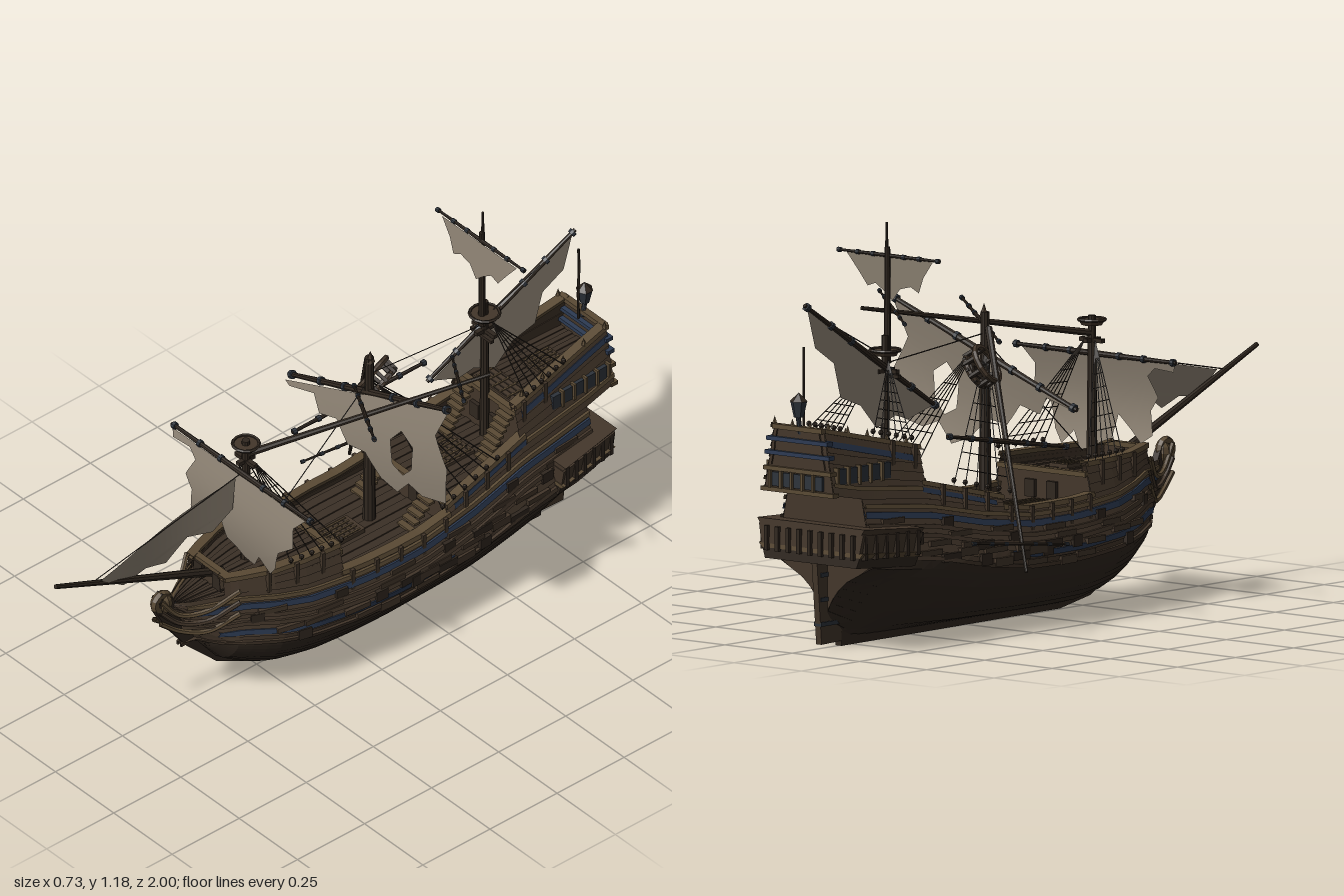
import * as THREE from 'three';
import { mergeVertices } from 'three/addons/utils/BufferGeometryUtils.js';

const mat = (color, flatShading = true) => new THREE.MeshStandardMaterial({ color, flatShading, side: THREE.DoubleSide });
const WOOD = mat(0x43362a), DARK = mat(0x30271f), TRIM = mat(0x5a4a34), BLUE = mat(0x2c3a52);
const DECK = mat(0x3b3026), SAIL = mat(0x8d8273, false), ROPE = mat(0x2b2520), IRON = mat(0x2d333b);
const V = (x, y, z) => new THREE.Vector3(x, y, z);

// Linear interpolation in a table of [z, value], z descending
function lerp(t, z) {
  if (z >= t[0][0]) return t[0][1];
  for (let i = 1; i < t.length; i++) if (z >= t[i][0]) {
    const [a, b] = [t[i - 1], t[i]];
    return a[1] + (b[1] - a[1]) * (z - a[0]) / (b[0] - a[0]);
  }
  return t[t.length - 1][1];
}
const KEEL = [[.57, .35], [.5, .23], [.41, .115], [.34, .07], [.27, .04], [.14, .018], [-.78, .018], [-.86, .06]];
const WIDTH = [[.57, .012], [.5, .055], [.4, .118], [.3, .165], [.2, .19], [.05, .208], [-.1, .216], [-.3, .213], [-.5, .205], [-.7, .193], [-.86, .18], [-.97, .172]];
const SHEER = [[.57, .385], [.4, .39], [.2, .357], [0, .345], [-.2, .345], [-.4, .37], [-.6, .41], [-.86, .435], [-.97, .455]];
const FULL = [[.57, 1.5], [.3, 1.7], [0, 1.85], [-.4, 1.75], [-.65, 1.3], [-.86, .62]];
const sheer = (z) => lerp(SHEER, z);
const foreTop = (z) => .435 + Math.max(0, z - .3) * .05;
const quarterTop = (z) => .385 + (-.3 - z) * .23;
const poopTop = (z) => .555 + (-.6 - z) * .22;

// Half breadth of the hull: rounded below the widest line, leaning inwards above it
function half(z, y) {
  const yb = lerp(KEEL, z), ym = Math.max(.23, yb + .1), w = lerp(WIDTH, z);
  if (y >= ym) return w * (1 - 1.15 * (y - ym));
  const p = lerp(FULL, z), u = Math.max(0, (y - yb) / (ym - yb));
  return w * Math.pow(Math.max(0, 1 - Math.pow(1 - u, p)), 1 / p);
}
const steps = (a, b, n) => Array.from({ length: n + 1 }, (_, i) => a + (b - a) * i / n);
const path = (pts, Type) => new Type(pts.map((p) => new THREE.Vector2(...p)));

export function createModel() {
  const ship = new THREE.Group();
  const add = (geo, m, name, x = 0, y = 0, z = 0, parent = ship) => {
    const o = new THREE.Mesh(geo, m);
    o.name = name; o.position.set(x, y, z); parent.add(o);
    return o;
  };
  const box = (w, h, d, m, name, x, y, z) => add(new THREE.BoxGeometry(w, h, d), m, name, x, y, z);
  // Surface through rows of points
  function grid(rows, m, name) {
    const n = rows[0].length, idx = [];
    for (let i = 0; i < rows.length - 1; i++) for (let j = 0; j < n - 1; j++) {
      const a = i * n + j, b = a + n;
      idx.push(a, b, a + 1, b, b + 1, a + 1);
    }
    const g = new THREE.BufferGeometry().setFromPoints(rows.flat());
    g.setIndex(idx); g.computeVertexNormals();
    add(g, m, name);
  }
  // Tapered round spar between two points
  function spar(a, b, r0, r1, m, name, seg = 8) {
    const d = b.clone().sub(a), o = add(new THREE.CylinderGeometry(r1, r0, d.length(), seg), m, name);
    o.position.copy(a).addScaledVector(d, .5);
    o.quaternion.setFromUnitVectors(V(0, 1, 0), d.normalize());
  }
  // Yard: thick in the middle, thin at the ends, with iron hoops
  function yard(a, b, r, name) {
    const m = a.clone().lerp(b, .5), e = .006 / a.distanceTo(b);
    spar(m, a, r, r * .6, DARK, name); spar(m, b, r, r * .6, DARK, name);
    for (const t of [.02, .2, .35, .65, .8, .98]) spar(a.clone().lerp(b, t - e), a.clone().lerp(b, t + e), r * 1.2, r * 1.2, IRON, 'hoop');
  }
  const rope = (a, b, r = .0018) => spar(a, b, r, r, ROPE, 'rope', 4);
  const curve = (pts, r, m, name) => add(new THREE.TubeGeometry(new THREE.CatmullRomCurve3(pts), 20, r, 6), m, name);
  // Flat profile in (z, y), extruded across the ship
  function profile(pts, w, m, name) {
    const g = new THREE.ExtrudeGeometry(path(pts, THREE.Shape), { depth: w, bevelEnabled: false });
    add(g.rotateY(-Math.PI / 2).translate(w / 2, 0, 0), m, name);
  }
  // Lapped planking from lo(z) to hi(z), both sides
  function planking(z0, z1, lo, hi, n, m, name, lap = .004, inset = 0) {
    for (const s of [1, -1]) grid(steps(z0, z1, 36).map((z) => {
      const row = [], a = lo(z), b = hi(z);
      for (let k = 0; k < n; k++) for (const [t, o] of [[k, lap], [k + 1, 0]]) {
        const y = a + (b - a) * t / n;
        row.push(V(s * (half(z, y) + o - inset), y, z));
      }
      return row;
    }), m, name);
  }
  // Raised belt along the side
  function belt(z0, z1, yf, h, out, m, name, inner = .006) {
    for (const s of [1, -1]) grid(steps(z0, z1, 30).map((z) =>
      [[-h, -inner], [-h, out], [h, out], [h, -inner], [-h, -inner]].map(([d, o]) =>
        V(s * Math.max(.004, half(z, yf(z) + d) + o), yf(z) + d, z))), m, name);
  }
  const bilge = (z) => Math.max(lerp(KEEL, z), sheer(z) - .17);
  planking(.57, -.86, (z) => lerp(KEEL, z), bilge, 9, DARK, 'lowerHull', .0015);
  planking(.57, -.86, bilge, sheer, 7, WOOD, 'upperHull');
  planking(.44, .08, sheer, foreTop, 3, WOOD, 'forecastleSide');
  planking(-.3, -.62, sheer, quarterTop, 3, WOOD, 'quarterSide');
  planking(-.6, -.97, sheer, poopTop, 6, WOOD, 'poopSide');
  belt(.52, -.86, (z) => sheer(z) - .045, .009, .008, BLUE, 'blueBelt');
  belt(.46, -.3, (z) => sheer(z) - .13, .008, .007, BLUE, 'lowerBlueBelt');
  for (const d of [.02, .075, .1, .165]) belt(.54, -.86, (z) => sheer(z) - d, .006, .011, d < .05 ? TRIM : WOOD, 'wale');
  belt(-.62, -.97, (z) => poopTop(z) - .035, .009, .006, BLUE, 'poopBlueBelt');
  belt(-.33, -.62, (z) => quarterTop(z) - .02, .007, .006, BLUE, 'quarterBlueBelt');
  belt(-.62, -.97, (z) => sheer(z) + .03, .006, .01, TRIM, 'poopMoulding');
  // Bulwarks: inner lining and cap rail
  for (const [a, b, f, y] of [[.44, .08, foreTop, .4], [.09, -.31, sheer, .305], [-.3, -.62, quarterTop, .37], [-.6, -.975, poopTop, .525]]) {
    planking(a, b, () => y, f, 2, WOOD, 'bulwarkLining', .002, .016);
    belt(a, b, f, .007, .01, TRIM, 'capRail', .02);
  }

  // Patches, gunports and ribs along the sides
  for (const s of [1, -1]) {
    const patch = (z, y, h, l, m, name) => {
      box(.016, h, l, m, name, s * (half(z, y) + .004), y, z).rotation.y = s * Math.atan2(half(z + .03, y) - half(z - .03, y), .06);
    };
    for (let i = 0; i < 27; i++) {
      const z = .36 - i * .043, y = sheer(z) - [.085, .06, .12, .15, .11][i % 5];
      if (i % 3) patch(z, y, .016, .085, WOOD, 'loosePlank'); else patch(z, y, .034, .04, DARK, 'gunport');
      const t = z > .08 ? foreTop(z) : z > -.3 ? sheer(z) : z > -.6 ? quarterTop(z) : poopTop(z);
      if (i % 2) box(.014, .07, .012, WOOD, 'rib', s * (half(z, t - .03) + .004), t - .03, z);
    }
    for (const i of steps(0, 7, 7)) patch(-.06 - i * .07, .185 + (i * 3 % 4) * .016 + i * .006, .024, .07, i % 2 ? DARK : WOOD, 'hullPatch');
  }

  // Keel with curled stem, rudder and transom
  profile([[-.8, 0], [.14, .004], [.27, .028], [.41, .1], [.52, .21], [.6, .32], [.632, .38], [.635, .42], [.61, .44], [.575, .41],
    [.55, .36], [.49, .27], [.38, .13], [.25, .065], [.1, .04], [-.8, .04]], .022, DARK, 'keelAndStem');
  profile([[-.79, .015], [-.885, .012], [-.905, .25], [-.85, .3], [-.82, .25]], .02, WOOD, 'rudder');
  for (const y of [.07, .14, .21]) box(.028, .012, .08, IRON, 'rudderStrap', 0, y, -.85);
  grid(steps(.06, .435, 14).map((y) => [V(-half(-.86, y), y, -.86), V(half(-.86, y), y, -.86)]), WOOD, 'transom');

  // Beakhead: scroll, figure and curved head rails
  add(new THREE.TorusGeometry(.025, .013, 6, 14).rotateY(Math.PI / 2), TRIM, 'scroll', 0, .405, .606);
  add(new THREE.SphereGeometry(.024, 8, 6).scale(1, 1.5, 1), TRIM, 'figurehead', 0, .395, .595);
  for (const s of [1, -1]) for (const d of [0, .04, .08])
    curve([V(s * .115, .41 - d, .41), V(s * .065, .35 - d * .9, .49), V(s * .03, .35 - d * .7, .56), V(s * .014, .42 - d, .62)], .008, d === .04 ? WOOD : TRIM, 'headRail');

  // Decks with raised planks, and the bulkheads between them
  function deck(z0, z1, y, name) {
    grid(steps(z0, z1, 14).map((z) => {
      const w = half(z, y), row = [];
      for (let k = 0; k < 14; k++) for (const t of [k, k + 1]) row.push(V(w * (t / 7 - 1), y + (k % 2) * .004, z));
      return row;
    }), DECK, name);
  }
  const wall = (z, y0, y1, name) => {
    grid([y0, y1].map((y) => [V(-half(z, y), y, z), V(half(z, y), y, z)]), WOOD, name);
    box(half(z, y1) * 2, .014, .02, TRIM, 'beam', 0, y1, z);
  };
  deck(.55, .4, .37, 'beakDeck'); deck(.42, .08, .4, 'foredeck'); deck(.1, -.32, .305, 'mainDeck');
  deck(-.3, -.62, .385, 'quarterdeck'); deck(-.6, -.97, .525, 'poopDeck');
  wall(.42, .36, .44, 'foreBulkhead'); wall(.08, .3, .405, 'forecastleWall');
  wall(-.31, .3, .39, 'quarterWall'); wall(-.61, .38, .53, 'poopWall'); wall(-.97, .455, .635, 'sternWall');
  grid(steps(-.85, -.97, 2).map((z) => [V(-half(z, sheer(z)), sheer(z), z), V(half(z, sheer(z)), sheer(z), z)]), WOOD, 'counterFloor');
  for (const y of [0, .06, .105, .145]) box(.27 - y * .3, .012, .025, y > .1 ? BLUE : TRIM, 'sternMoulding', 0, .455 + y, -.968);

  // Deck fittings: hatches, doors, windows and stairs
  for (const [z, y, w, l] of [[0, .31, .08, .24], [.18, .405, .07, .07], [-.46, .39, .1, .12], [-.66, .53, .16, .07], [-.82, .53, .08, .1]]) {
    box(w, .018, l, WOOD, 'hatch', 0, y, z);
    for (const x of steps(-.4, .4, 4)) box(.005, .024, l * .9, TRIM, 'grating', x * w, y, z);
    for (const d of steps(-.4, .4, Math.round(l * 40))) box(w * .9, .022, .005, DARK, 'grating', 0, y, z + d * l);
  }
  const stairs = (x, z, y0, y1, n) => steps(0, 1, n).forEach((t) => box(.055, .008, .02, TRIM, 'stair', x, y0 + (y1 - y0) * t, z - t * .09));
  for (const s of [1, -1]) {
    stairs(s * .1, -.22, .31, .385, 5); stairs(s * .085, -.52, .39, .52, 8);
    for (const [z, y] of [[.43, .41], [.072, .35], [-.302, .35], [-.6, .45]]) box(.035, .05, .012, DARK, 'door', s * .04, y, z);
    for (const z of steps(-.75, -.93, 4)) {
      box(.016, .045, .03, IRON, 'sideWindow', s * half(z, .5), .505, z);
      box(.024, .055, .008, TRIM, 'windowPost', s * half(z, .5), .505, z - .022);
    }
  }
  for (const x of steps(-.08, .08, 4)) {
    box(.026, .04, .012, IRON, 'sternWindow', x, .485, -.973);
    box(.008, .05, .022, TRIM, 'windowPost', x + .02, .485, -.973);
  }

  // Lower gallery around the stern: wider forwards and at the top, on brackets
  for (const [y, h, k, m] of [[.345, .016, 1.03, WOOD], [.31, .055, 1, WOOD], [.277, .014, 1, TRIM], [.255, .03, .93, DARK]]) {
    const g = new THREE.BoxGeometry(.408, h, .22), p = g.attributes.position;
    for (let i = 0; i < p.count; i++) p.setX(i, p.getX(i) * k * (1 + p.getZ(i) * .7) * (1 + (p.getY(i) > 0 ? .03 : -.03)));
    add(g, m, 'gallery', 0, y, -.81).rotation.x = .06;
  }
  for (const s of [1, -1]) for (const t of steps(0, 1, 5)) box(.014, .07, .012, DARK, 'galleryPost', s * (.218 - t * .03), .305, -.715 - t * .19);
  for (const x of steps(-.16, .16, 8)) box(.012, .07, .014, DARK, 'galleryPost', x, .305, -.923);

  // Masts, tops and bowsprit
  const mast = (z, y0, y1, r, r1 = r * .65) => spar(V(0, y0, z), V(0, y1, z), r, r1, DARK, 'mast', 10);
  function top(y, z, r) {
    add(new THREE.CylinderGeometry(r, r * .8, .014, 10), WOOD, 'mastTop', 0, y, z);
    add(new THREE.TorusGeometry(r, .005, 5, 14).rotateX(Math.PI / 2), DARK, 'topRim', 0, y + .008, z);
    box(r * 2.2, .012, .014, DARK, 'crosstree', 0, y - .05, z);
    box(.014, .012, r * 1.6, DARK, 'crosstree', 0, y - .05, z);
  }
  mast(.29, .2, .82, .018); top(.8, .29, .038);
  mast(-.17, .2, .88, .02); mast(-.6, .3, .86, .016); mast(-.59, .78, 1.11, .011, .008); mast(-.593, 1.1, 1.18, .005);
  top(.81, -.6, .043); box(.09, .01, .012, DARK, 'crosstree', 0, .745, -.59);
  add(new THREE.ConeGeometry(.014, .04, 5), WOOD, 'splinter', .004, .885, -.17);
  spar(V(0, .4, .38), V(0, .66, 1), .014, .007, DARK, 'bowsprit');

  // Yards still standing
  yard(V(-.3, .71, .305), V(.305, .71, .305), .009, 'foreYard');
  yard(V(-.333, .63, -.16), V(.345, .892, -.17), .011, 'mainYard');
  yard(V(-.19, 1.085, -.585), V(.19, 1.085, -.585), .006, 'mizzenTopYard');
  yard(V(-.04, .64, -.42), V(.032, .975, -.91), .01, 'mizzenYard');
  // Fore topmast fallen aft, with its crossed yards
  spar(V(0, .77, .29), V(.287, .885, -.37), .011, .006, DARK, 'fallenForeTopmast');
  yard(V(.287, .87, .06), V(-.02, .79, -.13), .006, 'fallenYard');
  yard(V(.359, .912, -.21), V(.125, .853, -.37), .005, 'fallenYard');
  // Main topmast hanging over the side, with its yards
  spar(V(-.03, .84, -.19), V(-.361, .2, -.41), .011, .005, DARK, 'hangingTopmast');
  yard(V(-.17, .58, -.53), V(-.24, .51, -.09), .008, 'hangingYard');
  yard(V(-.29, .29, -.56), V(-.363, .26, -.23), .005, 'hangingYard');
  // Broken top: an open frame of two rims, posts and crossed beams
  const frame = new THREE.Group();
  frame.name = 'brokenTop'; frame.position.set(-.055, .735, -.25); frame.rotation.set(.5, 0, .9); ship.add(frame);
  for (const [y, r] of [[.02, .056], [-.02, .046]]) add(new THREE.TorusGeometry(r, .009, 6, 14).rotateX(Math.PI / 2), WOOD, 'rim', 0, y, 0, frame);
  for (const a of steps(0, 5.5, 7)) add(new THREE.BoxGeometry(.01, .05, .01), DARK, 'rimPost', Math.cos(a) * .052, 0, Math.sin(a) * .052, frame);
  for (const d of [.018, -.018]) {
    add(new THREE.BoxGeometry(.1, .01, .012), DARK, 'frameBeam', 0, -.02, d, frame);
    add(new THREE.BoxGeometry(.012, .01, .1), DARK, 'frameBeam', d, -.02, 0, frame);
  }

  // Torn sails: outline, optional hole, cut into small triangles, and a rule placing each point
  function sail(pts, place, name, hole) {
    const s = path(pts, THREE.Shape);
    if (hole) s.holes.push(path(hole, THREE.Path));
    const flat = new THREE.ShapeGeometry(s).toNonIndexed().attributes.position;
    let tri = Array.from({ length: flat.count }, (_, i) => V().fromBufferAttribute(flat, i));
    for (let n = 0; n < 3; n++) {
      const out = [];
      for (let i = 0; i < tri.length; i += 3) {
        const [a, b, c] = tri.slice(i, i + 3), ab = a.clone().lerp(b, .5), bc = b.clone().lerp(c, .5), ca = c.clone().lerp(a, .5);
        out.push(a, ab, ca, ab, b, bc, ca, bc, c, ab, bc, ca);
      }
      tri = out;
    }
    const g = mergeVertices(new THREE.BufferGeometry().setFromPoints(tri.map((p) => V(...place(p.x, p.y)))));
    g.computeVertexNormals();
    add(g, SAIL, name);
  }
  sail([[-.29, .705], [-.28, .68], [-.21, .685], [-.18, .66], [-.21, .6], [-.18, .56], [-.19, .49], [-.15, .465], [-.11, .5], [-.06, .54], [-.04, .47], [0, .455],
    [.03, .435], [.07, .43], [.1, .48], [.14, .44], [.17, .48], [.19, .55], [.25, .6], [.24, .66], [.28, .705]],
  (x, y) => [x, y, .31 + .025 * Math.sin((.71 - y) * 10)], 'foreSail');
  sail([[-.32, .63], [.338, .885], [.296, .78], [.35, .69], [.333, .555], [.24, .53], [.19, .55], [.14, .49], [.08, .51], [.02, .57], [-.05, .56], [-.1, .62], [-.17, .6], [-.2, .65], [-.3, .62]],
    (x, y) => [x, y, -.155 - x * .06 + .02 * Math.sin(Math.max(0, .76 + x * .38 - y) * 8)], 'mainSail',
    [[.13, .59], [.12, .67], [.16, .72], [.21, .69], [.205, .61], [.17, .57]]);
  sail([[-.16, 1.08], [.16, 1.08], [.12, 1.03], [.09, .99], [.06, 1], [.03, .98], [0, .955], [-.03, .99], [-.07, 1], [-.1, .985], [-.12, 1.03]],
    (x, y) => [x, y, -.58 + (1.08 - y) * .1], 'mizzenTopSail');
  sail([[-.43, .645], [-.9, .965], [-.87, .85], [-.8, .8], [-.775, .7], [-.7, .67], [-.64, .6], [-.57, .63], [-.52, .615]],
    (z, y) => [-.03 - (z + .43) * .13, y, z], 'mizzenSail');
  sail([[.84, .605], [.33, .705], [.34, .6], [.41, .55], [.5, .575], [.58, .525], [.66, .55], [.75, .54]],
    (z, y) => [.01 * Math.sin(z * 9), y, z], 'jib');

  // Shrouds with ratlines on both sides, and the stays
  for (const s of [1, -1]) for (const [zm, yt, z0, z1, f] of [[.28, .75, .25, .08, foreTop], [-.19, .78, -.28, -.5, quarterTop], [-.61, .79, -.64, -.79, poopTop]]) {
    const feet = steps(z0, z1, 5).map((z) => V(s * (half(z, f(z)) + .012), f(z) + .01, z)), head = V(s * .02, yt, zm);
    for (const p of feet) {
      rope(p, head);
      add(new THREE.SphereGeometry(.008, 6, 4), DARK, 'deadeye', p.x, p.y + .012, p.z);
    }
    for (const t of [.12, .24, .36, .48, .6, .72]) rope(feet[0].clone().lerp(head, t), feet[5].clone().lerp(head, t), .0014);
  }
  for (const [a, b] of [[V(0, .44, .25), V(0, .8, -.17)], [V(0, .82, -.17), V(0, .78, -.6)], [V(0, .605, .86), V(0, .71, .31)], [V(0, .8, -.6), V(.03, .95, -.88)]]) rope(a, b);

  // Poop rail, stern lantern and flagstaff
  for (const s of [1, -1]) for (const z of steps(-.64, -.96, 4)) add(new THREE.ConeGeometry(.008, .024, 5), TRIM, 'railFinial', s * half(z, .6), poopTop(z) + .016, z);
  spar(V(0, .62, -.965), V(0, .675, -.975), .007, .007, IRON, 'lanternPost');
  add(new THREE.CylinderGeometry(.024, .014, .045, 6), IRON, 'lantern', 0, .69, -.972);
  add(new THREE.ConeGeometry(.026, .025, 6), DARK, 'lanternRoof', 0, .725, -.972);
  curve([V(0, .62, -.95), V(.004, .72, -.945), V(-.004, .79, -.955), V(0, .865, -.95)], .004, DARK, 'flagstaff');
  return ship;
}
